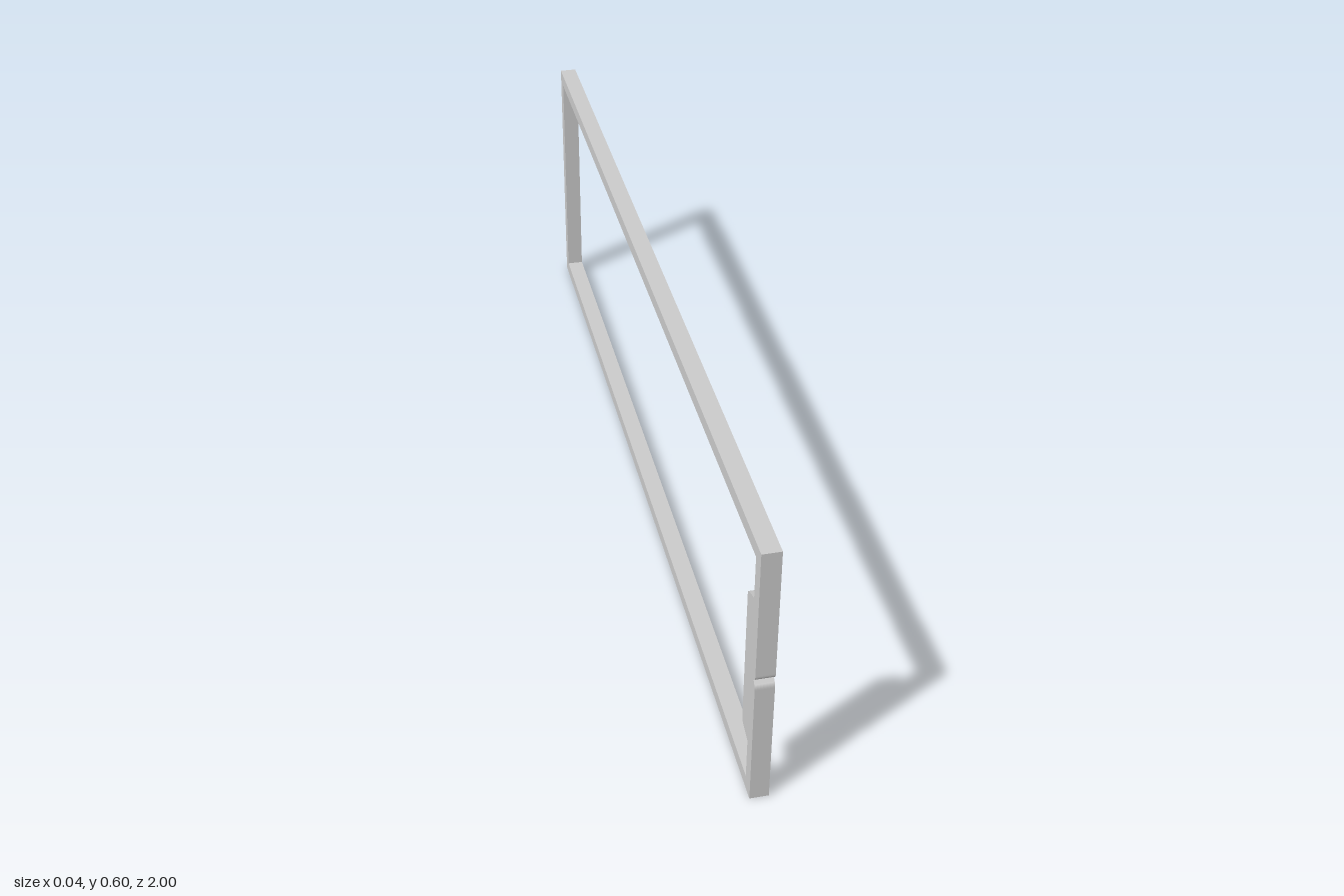
import * as THREE from 'three';

const LENGTH = 2, HEIGHT = 0.602, WIDTH = 0.038, BAR = 0.03;

// Side profile of the frame, drawn with x along the model's depth
function frameProfile() {
  const end = LENGTH / 2, mid = 0.3;
  const shape = new THREE.Shape();
  shape.moveTo(-end, 0);
  shape.lineTo(end, 0);
  // small V notch with rounded lips in the front bar
  shape.lineTo(end, mid - 0.017);
  shape.quadraticCurveTo(end, mid - 0.009, end - 0.004, mid - 0.006);
  shape.lineTo(end - 0.01, mid);
  shape.lineTo(end - 0.004, mid + 0.006);
  shape.quadraticCurveTo(end, mid + 0.009, end, mid + 0.017);
  shape.lineTo(end, HEIGHT);
  shape.lineTo(-end, HEIGHT);
  shape.closePath();

  // opening, stepping around the grip tab on the front bar
  const inner = end - BAR, tab = 0.93;
  const hole = new THREE.Path();
  hole.moveTo(-inner, BAR);
  hole.lineTo(-inner, HEIGHT - BAR);
  hole.lineTo(inner, HEIGHT - BAR);
  hole.lineTo(inner, 0.478);
  hole.lineTo(tab + 0.01, 0.467);
  hole.quadraticCurveTo(tab, 0.463, tab, 0.453);
  hole.lineTo(tab, 0.149);
  hole.quadraticCurveTo(tab, 0.139, tab + 0.01, 0.135);
  hole.lineTo(inner, 0.124);
  hole.lineTo(inner, BAR);
  hole.closePath();
  shape.holes.push(hole);
  return shape;
}

export function createModel() {
  const group = new THREE.Group();
  const geometry = new THREE.ExtrudeGeometry(frameProfile(), {
    depth: WIDTH, bevelEnabled: false, curveSegments: 6,
  });
  geometry.translate(0, 0, -WIDTH / 2);
  geometry.rotateY(-Math.PI / 2);
  const frame = new THREE.Mesh(geometry, new THREE.MeshStandardMaterial({ color: 0xcccccc }));
  frame.name = 'rectangularFrame';
  group.add(frame);
  return group;
}
